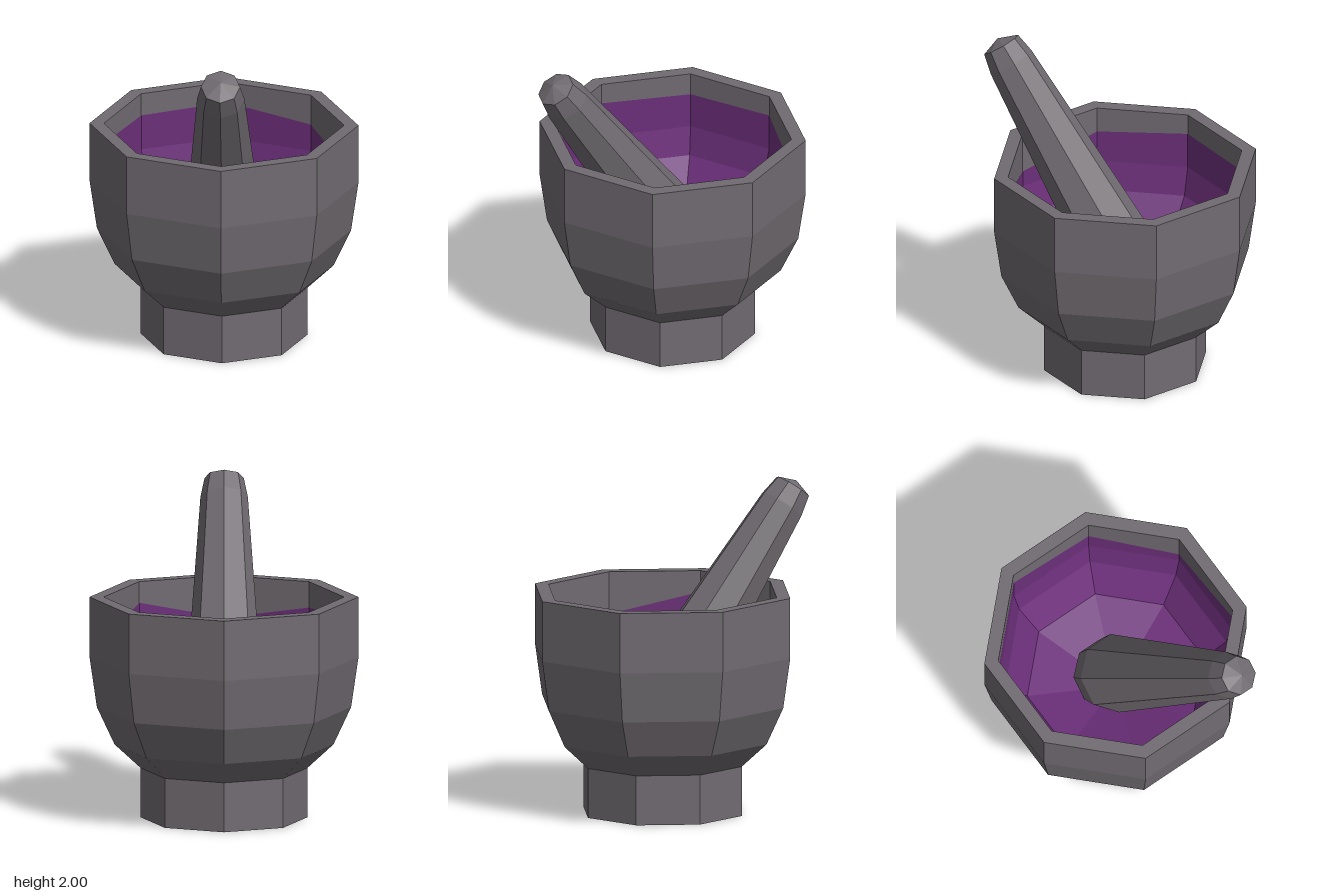
import * as THREE from 'three';

const SIDES = 8;

// Faceted eight-sided lathe from [radius, height] pairs
function facetedLathe(profile) {
  const points = profile.map(([r, y]) => new THREE.Vector2(r, y));
  return new THREE.LatheGeometry(points, SIDES);
}

function flat(geometry) {
  const g = geometry.toNonIndexed();
  g.computeVertexNormals();
  return g;
}

function addMesh(parent, name, geometry, material) {
  const mesh = new THREE.Mesh(flat(geometry), material);
  mesh.name = name;
  parent.add(mesh);
  return mesh;
}

export function createModel() {
  const stone = new THREE.MeshStandardMaterial({ color: 0x706b71 });
  stone.name = 'greyStone';
  const paste = new THREE.MeshStandardMaterial({ color: 0x6c2f7a });
  paste.name = 'purplePaste';

  const model = new THREE.Group();
  model.name = 'mortarAndPestle';

  // Mortar: foot, rounded belly, rim and upper inner wall
  const mortar = new THREE.Group();
  mortar.name = 'mortar';
  mortar.position.z = -0.08;
  model.add(mortar);
  addMesh(mortar, 'bowl', facetedLathe([
    [0, 0], [0.507, 0], [0.507, 0.305], [0.665, 0.45], [0.772, 0.68],
    [0.817, 0.99], [0.817, 1.36], [0.73, 1.36], [0.73, 0.98],
  ]), stone);

  // Purple lining with an uneven upper edge
  const lining = facetedLathe([
    [0.728, 1.23], [0.728, 1.0], [0.69, 0.82], [0.55, 0.62], [0, 0.46],
  ]);
  const edgeHeights = [1.1, 1.23, 1.1, 1.17, 1.23, 1.22, 1.23, 1.2];
  const position = lining.attributes.position;
  for (let i = 0; i <= SIDES; i++) {
    position.setY(i * 5, edgeHeights[i % SIDES]);
  }
  addMesh(mortar, 'lining', lining, paste);

  // Pestle: tapered handle, bevelled top and rounded grinding end
  const pestle = addMesh(model, 'pestle', facetedLathe([
    [0, -1.68], [0.12, -1.66], [0.2, -1.57], [0.24, -1.41],
    [0.144, 0], [0.119, 0.126], [0, 0.17],
  ]), stone);
  pestle.position.set(0, 1.83, 0.73);
  pestle.rotation.x = THREE.MathUtils.degToRad(35.3);

  return model;
}
